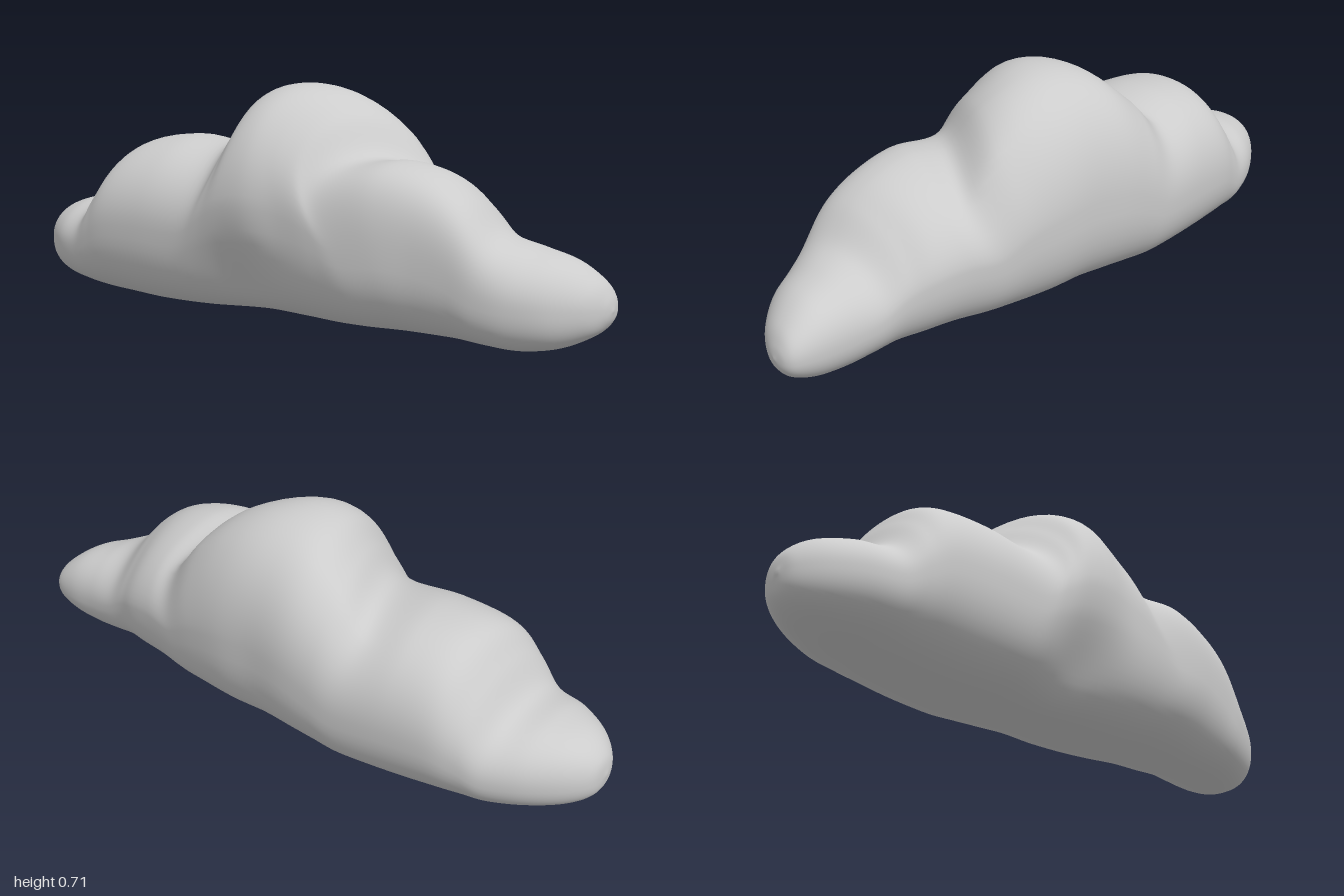
import * as THREE from 'three';
import { mergeVertices } from 'three/addons/utils/BufferGeometryUtils.js';

// Cross-sections along the cloud: x, bottom, top, back, front, crease slant
const SECTIONS = [
  [-1, 0.16, 0.16, 0.07, 0.07, 0],
  [-0.985, 0.1, 0.22, 0, 0.13, 0],
  [-0.93, 0.06, 0.27, -0.07, 0.195, 0],
  [-0.84, 0.035, 0.3, -0.14, 0.25, 0],
  [-0.74, 0.02, 0.32, -0.19, 0.275, 0],
  [-0.67, 0.01, 0.42, -0.22, 0.29, 0],
  [-0.59, 0.005, 0.505, -0.25, 0.3, 0],
  [-0.45, 0, 0.53, -0.275, 0.3, 0.12],
  [-0.29, 0.005, 0.52, -0.295, 0.295, 0.3],
  [-0.2, 0.01, 0.61, -0.305, 0.3, 0.27],
  [-0.11, 0.015, 0.69, -0.31, 0.305, 0.13],
  [0, 0.02, 0.715, -0.305, 0.3, 0],
  [0.12, 0.02, 0.695, -0.305, 0.28, -0.17],
  [0.24, 0.02, 0.63, -0.29, 0.275, -0.38],
  [0.34, 0.025, 0.52, -0.27, 0.27, -0.43],
  [0.45, 0.03, 0.52, -0.25, 0.255, -0.17],
  [0.55, 0.03, 0.49, -0.23, 0.23, 0],
  [0.63, 0.03, 0.43, -0.205, 0.21, 0.12],
  [0.71, 0.025, 0.34, -0.19, 0.19, 0.15],
  [0.8, 0.02, 0.305, -0.18, 0.155, 0.06],
  [0.89, 0.035, 0.275, -0.175, 0.1, 0],
  [0.96, 0.07, 0.225, -0.16, 0.02, 0],
  [0.99, 0.105, 0.18, -0.135, -0.045, 0],
  [1, 0.14, 0.14, -0.09, -0.09, 0],
];

const { smoothstep } = THREE.MathUtils;

// Smooth rail through the sections for three chosen columns
function rail(a, b, c) {
  const points = SECTIONS.map((s) => new THREE.Vector3(s[a], s[b], s[c]));
  return new THREE.CatmullRomCurve3(points, false, 'catmullrom', 0.5);
}

// Signed power for the squarish oval outline
const soft = (v, n) => Math.sign(v) * Math.abs(v) ** (2 / n);

function cloudGeometry(steps = 161, sides = 64) {
  const heights = rail(0, 1, 2);
  const depths = rail(3, 4, 5);
  const positions = [];
  const index = [];
  for (let i = 0; i <= steps; i++) {
    const { x, y: bottom, z: top } = heights.getPoint(i / steps);
    const { x: back, y: front, z: slant } = depths.getPoint(i / steps);
    const halfDepth = (front - back) / 2;
    // The left puff leans forward; the others lean slightly back
    const lean = -0.06 + 0.33 * smoothstep(x, 0.15, 0.45) * (1 - smoothstep(x, 0.6, 0.85));
    // Shallow hollow low on the front, between the puffs
    const hollow = 0.075 * Math.exp(-(((x + 0.06) / 0.14) ** 2));
    // Rounder crown, squarer underside in the middle, slimmer left back
    const underside = 2.35 + 0.4 * Math.exp(-((x / 0.4) ** 2));
    const backCrown = 2.1 - 0.25 * smoothstep(x, 0, 0.25) * (1 - smoothstep(x, 0.55, 0.8));
    for (let j = 0; j < sides; j++) {
      const angle = (j / sides) * Math.PI * 2;
      const crown = Math.cos(angle) < 0 ? backCrown : 2.15;
      const n = Math.sin(angle) > 0 ? crown : underside;
      const up = soft(Math.sin(angle), n);
      const out = soft(Math.cos(angle), n);
      const tilt = (up > 0 ? lean : 0.05) * up * up;
      const dent = hollow * Math.max(out, 0) * smoothstep(-up, 0, 0.8);
      const z = (back + front) / 2 + halfDepth * (out + tilt) - dent;
      const y = (bottom + top) / 2 + ((top - bottom) / 2) * up;
      // Creases between the upper puffs run at a slant across the cloud
      const lift = smoothstep(up, -0.4, 0.9);
      positions.push(x + slant * lift * (Math.max(z, -0.18) + 0.04), y, z);
      if (i < steps) {
        const p = i * sides + j;
        const q = i * sides + ((j + 1) % sides);
        index.push(p, p + sides, q, q, p + sides, q + sides);
      }
    }
  }
  const geometry = new THREE.BufferGeometry();
  geometry.setAttribute('position', new THREE.Float32BufferAttribute(positions, 3));
  geometry.setIndex(index);
  const merged = mergeVertices(geometry, 1e-5);
  merged.computeVertexNormals();
  return merged;
}

export function createModel() {
  const cloudGrey = new THREE.MeshStandardMaterial({ color: 0xcccccc });
  cloudGrey.name = 'cloud grey';
  const cloud = new THREE.Mesh(cloudGeometry(), cloudGrey);
  cloud.name = 'cloud';
  const model = new THREE.Group();
  model.name = 'cloudModel';
  model.add(cloud);
  return model;
}
